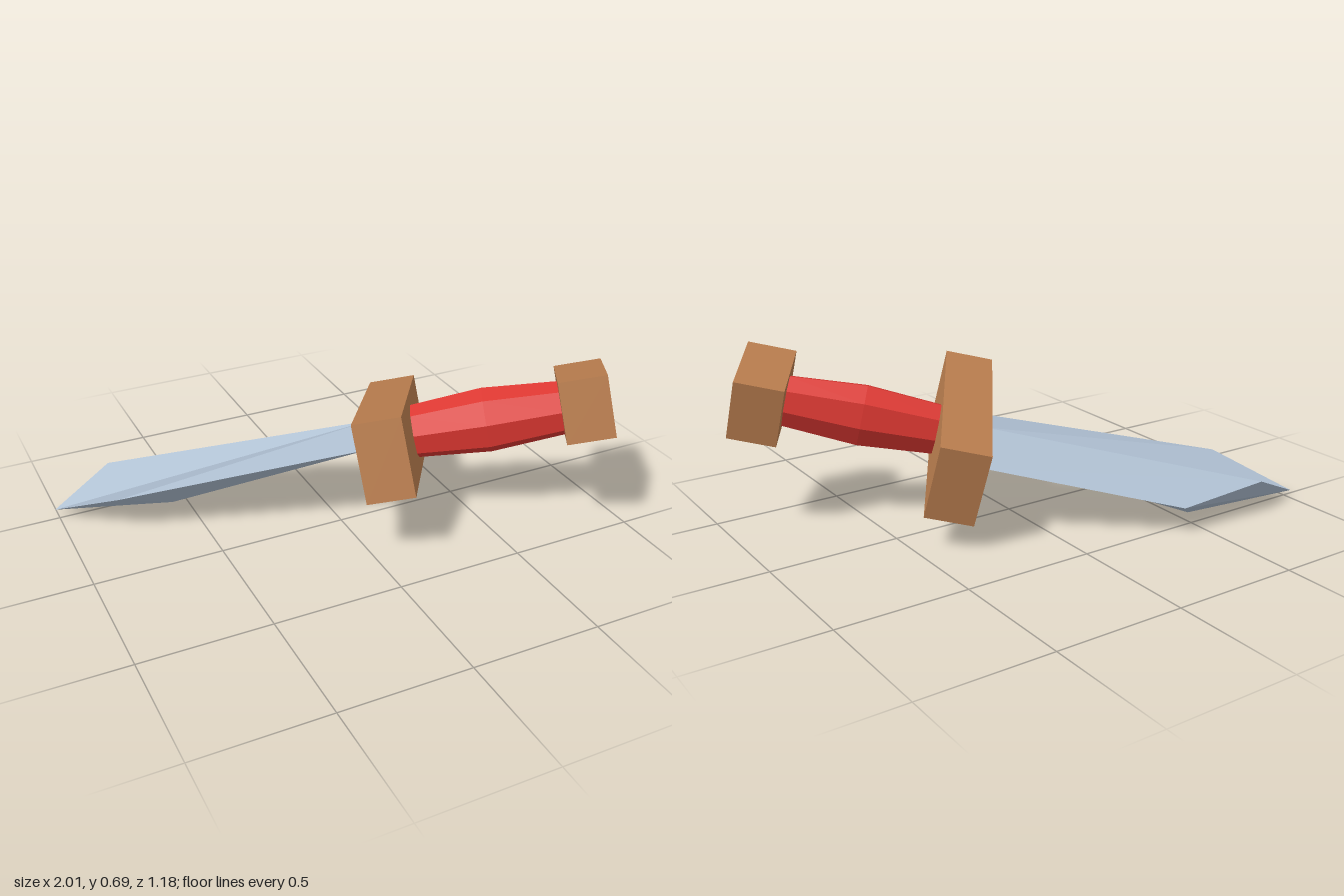
import * as THREE from 'three';

const flat = (color, name) => {
  const m = new THREE.MeshStandardMaterial({ color, flatShading: true });
  m.name = name;
  return m;
};

export function createModel() {
  const wood = flat(0xb97d4e, 'wood');
  const red = flat(0xdc3731, 'red grip');
  const steel = flat(0xafc0d2, 'steel');

  const model = new THREE.Group();
  model.name = 'shortSword';
  const add = (name, geometry, material, x = 0, y = 0, z = 0) => {
    const mesh = new THREE.Mesh(geometry, material);
    mesh.name = name;
    mesh.position.set(x, y, z);
    sword.add(mesh);
  };

  // Sword frame: x runs from blade to pommel, y is its upper side
  const sword = new THREE.Group();
  sword.name = 'sword';
  const along = new THREE.Vector3(0.847, 0.219, 0.492).normalize();
  const side = along.clone().cross(new THREE.Vector3(-0.049, 0.954, -0.296)).normalize();
  const up = side.clone().cross(along);
  sword.quaternion.setFromRotationMatrix(new THREE.Matrix4().makeBasis(along, up, side));
  sword.position.set(0.205, 0.333, 0.025);
  model.add(sword);

  // Guard and pommel blocks
  add('guard', new THREE.BoxGeometry(0.183, 0.304, 0.7), wood);
  add('pommel', new THREE.BoxGeometry(0.18, 0.237, 0.305), wood, 0.742, 0.017, -0.003);

  // Eight-sided grip, swollen in the middle
  const grip = new THREE.CylinderGeometry(1, 1, 0.58, 8, 2, true);
  const p = grip.attributes.position;
  for (let i = 0; i < p.count; i++) {
    const s = Math.abs(p.getY(i)) < 0.01 ? 1 : 0.82;
    p.setXYZ(i, p.getX(i) * 0.127 * s, p.getY(i), p.getZ(i) * 0.1 * s);
  }
  grip.rotateZ(-Math.PI / 2);
  add('grip', grip, red, 0.37, 0.005, 0);

  // Diamond-section blade with a slanted tip: root ring, end ring, tip
  const corners = [
    [-0.08, 0.068, -0.028], [-0.08, 0.005, 0.17], [-0.08, -0.045, -0.03], [-0.08, 0, -0.2],
    [-1.166, 0.066, -0.038], [-1.046, -0.012, 0.266], [-0.936, -0.137, -0.033], [-0.853, 0.003, -0.222],
    [-1.364, -0.049, 0.128],
  ];
  const faces = [[0, 4, 8, 5, 1], [3, 7, 4, 0], [1, 5, 6, 2], [2, 6, 7, 3], [5, 8, 6], [7, 6, 8, 4], [0, 1, 2, 3]];
  const points = [];
  for (const f of faces) {
    for (let i = 1; i < f.length - 1; i++) {
      points.push(...corners[f[0]], ...corners[f[i]], ...corners[f[i + 1]]);
    }
  }
  const blade = new THREE.BufferGeometry();
  blade.setAttribute('position', new THREE.Float32BufferAttribute(points, 3));
  blade.computeVertexNormals();
  add('blade', blade, steel);

  return model;
}
